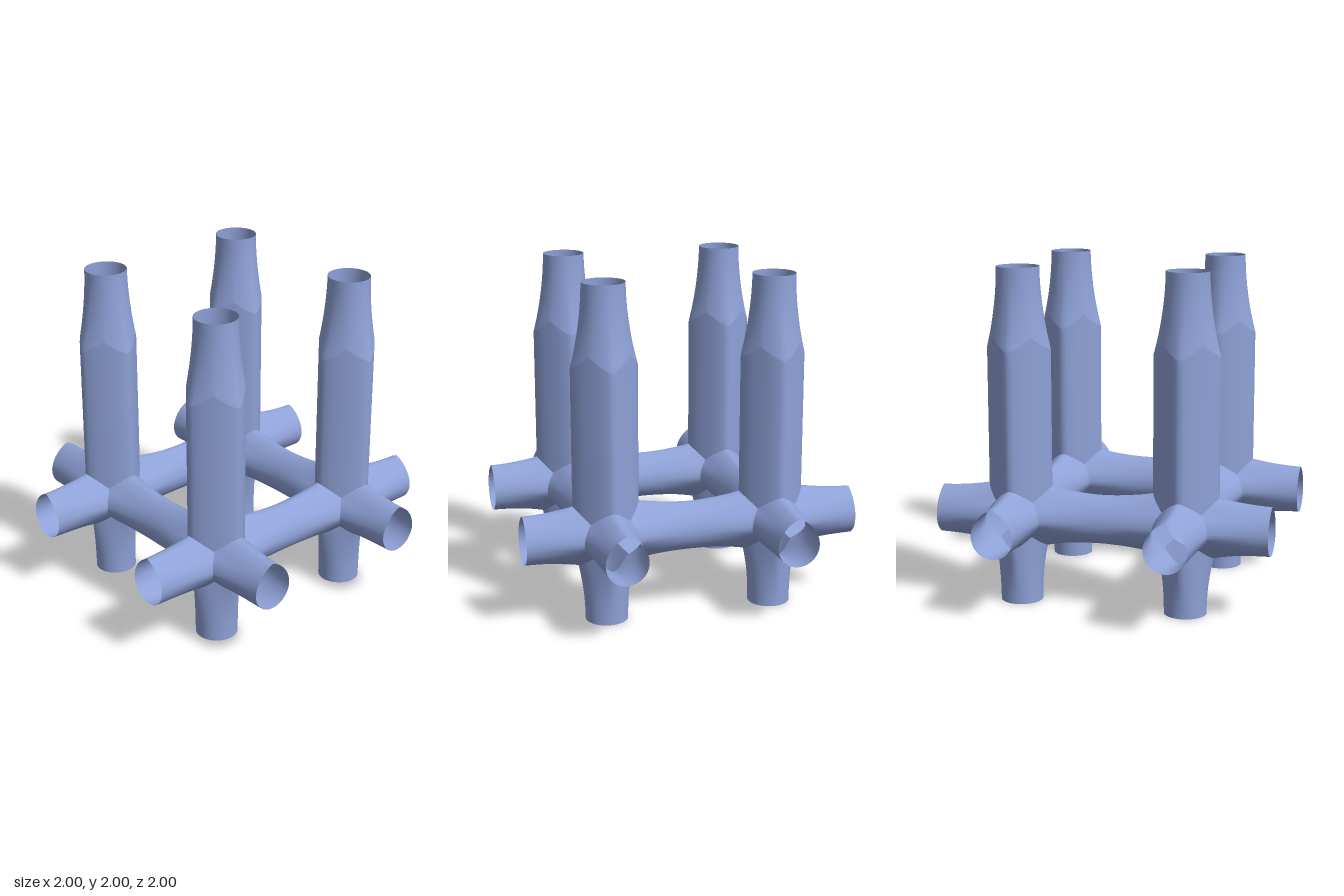
import * as THREE from 'three';

const SEG = 48, ROWS = 12;
const LOW = -0.4975, HIGH = 0.51, MID = (LOW + HIGH) / 2;
const NODE_Y = 0.51, CROWN_Y = 1.717, TOP = 2;

const material = new THREE.MeshStandardMaterial({ color: 0x8fa2d8, side: THREE.DoubleSide });

// Rounded diamond: pointed on the axes, softer on the diagonals
const diamond = (tip, diag, a) => diag + (tip - diag) * (1 - Math.abs(Math.sin(2 * a)));
// Distance along a limb at which it meets its neighbours on the 45 degree planes
const mitre = (r, a) => r * Math.max(Math.abs(Math.cos(a)), Math.abs(Math.sin(a)));

// Junction outlines of the limbs, a = angle from the limb's up direction
const postRadius = a => diamond(0.197, 0.164, a);
const legRadius = a => diamond(0.165, 0.137, a);
const armRadius = a => {
  const c = Math.cos(a);
  if (c > Math.SQRT1_2) return postRadius(a);
  return c >= -1e-6 ? diamond(0.165, 0.164, a) : legRadius(a);
};
const roundEnd = () => 0.125;
// Teardrop with its point upwards
const armEnd = a => 0.125 + (Math.cos(a) > 0 ? 0.04 * (1 - Math.abs(Math.sin(a))) ** 1.5 : 0);

// Open tube around an axis; point(a, t) gives [radius, distance along axis]
function tube(name, axis, up, point) {
  const side = new THREE.Vector3().crossVectors(axis, up);
  const positions = [], index = [];
  for (let i = 0; i <= ROWS; i++) {
    for (let j = 0; j < SEG; j++) {
      const a = (j / SEG) * Math.PI * 2;
      const [r, d] = point(a, i / ROWS);
      const p = new THREE.Vector3()
        .addScaledVector(axis, d)
        .addScaledVector(up, r * Math.cos(a))
        .addScaledVector(side, r * Math.sin(a));
      positions.push(p.x, p.y, p.z);
      if (i < ROWS) {
        const k = (j + 1) % SEG, row = i * SEG, next = row + SEG;
        index.push(row + j, row + k, next + j, row + k, next + k, next + j);
      }
    }
  }
  const geometry = new THREE.BufferGeometry();
  geometry.setAttribute('position', new THREE.Float32BufferAttribute(positions, 3));
  geometry.setIndex(index);
  geometry.computeVertexNormals();
  const mesh = new THREE.Mesh(geometry, material);
  mesh.name = name;
  return mesh;
}

// Limb that narrows from its mitred junction to its open end
function limb(name, axis, up, startRadius, endRadius, length) {
  return tube(name, axis, up, (a, t) => {
    const r0 = startRadius(a), r1 = endRadius(a);
    const d0 = mitre(r0, a);
    return [r1 + (r0 - r1) * (1 - t) ** 1.8, d0 + (length - d0) * t];
  });
}

function createNode(x, z) {
  const node = new THREE.Group();
  node.name = 'node';
  node.position.set(x, NODE_Y, z);
  const X = new THREE.Vector3(1, 0, 0), Y = new THREE.Vector3(0, 1, 0), Z = new THREE.Vector3(0, 0, 1);

  // Horizontal arms, reaching the outer limit or the middle of the next span
  for (const [axis, c, label] of [[X, x, 'sideArm'], [Z, z, 'depthArm']]) {
    for (const s of [-1, 1]) {
      const limit = s * c > 0 ? s : MID;
      node.add(limb(label, axis.clone().multiplyScalar(s), Y, armRadius, armEnd, Math.abs(limit - c)));
    }
  }

  // Leg below
  node.add(limb('leg', Y.clone().negate(), Z, legRadius, roundEnd, NODE_Y));

  // Straight post, mitred at both ends
  node.add(tube('post', Y, Z, (a, t) => {
    const r = postRadius(a), d = mitre(r, a);
    return [r, d + (CROWN_Y - NODE_Y - 2 * d) * t];
  }));

  // Tapered tip of the post
  node.add(tube('postTip', Y, Z, (a, t) => {
    const r0 = postRadius(a), r1 = roundEnd();
    const d0 = CROWN_Y - NODE_Y - mitre(r0, a);
    return [r1 + (r0 - r1) * (1 - t) ** 1.8, d0 + (TOP - NODE_Y - d0) * t];
  }));
  return node;
}

export function createModel() {
  const model = new THREE.Group();
  model.name = 'tubeLattice';
  for (const x of [LOW, HIGH]) for (const z of [LOW, HIGH]) model.add(createNode(x, z));
  return model;
}
